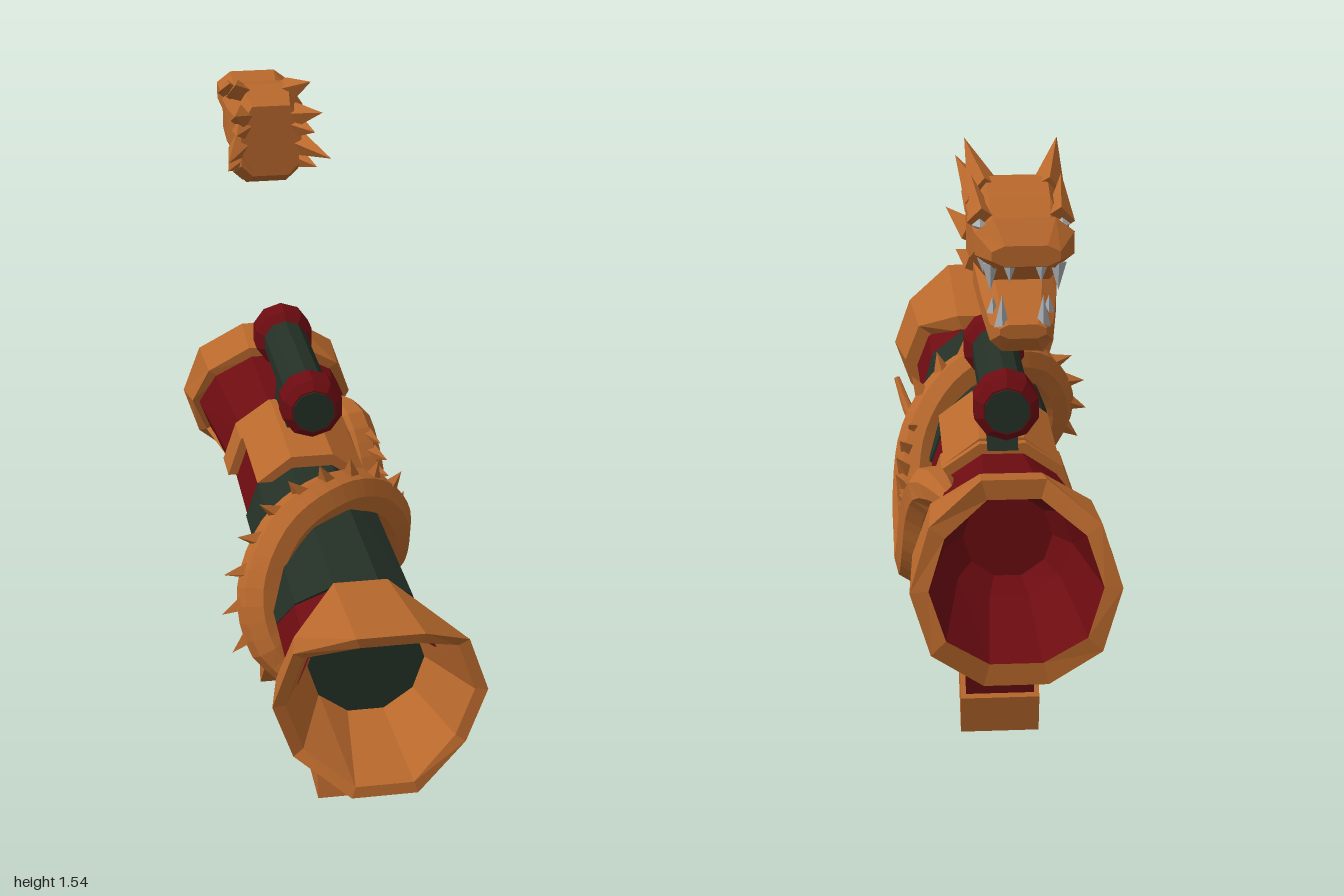
import * as THREE from 'three';

const mat = (name, color) => { const m = new THREE.MeshStandardMaterial({ color }); m.name = name; return m; };
const V = (x, y, z) => new THREE.Vector3(x, y, z);
const CX = -0.01; // centre line of the launcher

export function createModel() {
  const model = new THREE.Group();
  const bronze = mat('bronze', 0xb8682c), maroon = mat('maroon', 0x6c0c11);
  const green = mat('darkGreen', 0x243026), grey = mat('toothGrey', 0xa9adb0);

  // adds a faceted mesh
  function add(name, geo, material, parent = model) {
    const g = geo.index ? geo.toNonIndexed() : geo;
    g.computeVertexNormals();
    const m = new THREE.Mesh(g, material);
    m.name = name;
    parent.add(m);
    return m;
  }

  // decagon ring; each value is a number or one per level from top to bottom
  const LEVEL = [2, 1, 0, 0, 1, 2, 3, 4, 4, 3];
  const pick = (v, l) => Array.isArray(v) ? v[l] : v;
  function ring(rx, ry, cy, z, from = 0, to = 9) {
    const pts = [];
    for (let k = from; k <= to; k++) {
      const a = k * Math.PI / 5, l = LEVEL[k];
      pts.push(V(CX + pick(rx, l) * Math.cos(a), pick(cy, l) + pick(ry, l) * Math.sin(a), pick(z, l)));
    }
    return pts;
  }

  // skin over rings listed towards -z
  function loft(rings, capStart = false, capEnd = false) {
    const p = [], n = rings[0].length;
    const tri = (...vs) => vs.forEach(v => p.push(v.x, v.y, v.z));
    for (let i = 0; i < rings.length - 1; i++) for (let j = 0; j < n; j++) {
      const k = (j + 1) % n, [r, s] = [rings[i], rings[i + 1]];
      tri(r[j], s[j], s[k]);
      tri(r[j], s[k], r[k]);
    }
    const cap = (r, flip) => {
      const c = r.reduce((s, v) => s.add(v), V(0, 0, 0)).divideScalar(n);
      for (let j = 0; j < n; j++) {
        const k = (j + 1) % n;
        flip ? tri(c, r[k], r[j]) : tri(c, r[j], r[k]);
      }
    };
    if (capStart) cap(rings[0], false);
    if (capEnd) cap(rings[rings.length - 1], true);
    const g = new THREE.BufferGeometry();
    g.setAttribute('position', new THREE.Float32BufferAttribute(p, 3));
    return g;
  }

  // side profile of [z, y] points given a width in x
  function slab(points, width) {
    const s = new THREE.Shape(points.map(p => new THREE.Vector2(...p)));
    return new THREE.ExtrudeGeometry(s, { depth: width, bevelEnabled: false })
      .translate(0, 0, -width / 2).rotateY(-Math.PI / 2).translate(CX, 0, 0);
  }

  // pointed cone from a to b
  function spike(name, a, b, r, material, parent, sides = 4) {
    const d = b.clone().sub(a), len = d.length();
    const m = add(name, new THREE.ConeGeometry(r, len, sides).translate(0, len / 2, 0), material, parent);
    m.position.copy(a);
    m.quaternion.setFromUnitVectors(V(0, 1, 0), d.normalize());
  }

  // barrel
  add('barrel', loft([
    ring(0.168, 0.142, 0.617, 0.82), ring(0.155, 0.142, 0.615, 0.3), ring(0.15, 0.142, 0.62, -0.3),
    ring(0.195, 0.155, 0.645, -0.62), ring(0.2, 0.17, 0.64, -0.7)]), maroon);
  add('barrelTopPanel', loft([
    ring(0.161, 0.147, 0.62, [0.63, 0.6, 0.53], 0, 5), ring(0.157, 0.147, 0.62, 0, 0, 5)], true, true), green);

  // muzzle
  const rimZ = [1, 0.91, 0.91, 0.91, 0.97], muzzleBack = [0.67, 0.78, 0.78, 0.78, 0.8];
  add('muzzle', loft([
    ring(0.125, 0.125, 0.635, 0.74),
    ring(0.2, 0.185, 0.645, rimZ.map(z => z - 0.005)),
    ring(0.227, 0.21, 0.645, rimZ),
    ring([0.19, 0.2, 0.2, 0.2, 0.18], 0.165, 0.633, muzzleBack),
    ring(0.14, 0.13, 0.62, muzzleBack)]), bronze);
  add('boreDisc', new THREE.CircleGeometry(0.127, 10).translate(CX, 0.635, 0.745), green);

  // rear bell
  const bellZ = [-0.7, -0.75, -0.78, -0.8, -0.78];
  const bellFront = [-0.59, -0.6, -0.64, -0.68, -0.32], bellFrontY = [0.65, 0.65, 0.65, 0.645, 0.64];
  const bellInner = ring(0.185, 0.18, 0.625, bellZ);
  add('rearBell', loft([
    ring(0.18, 0.14, bellFrontY, bellFront), ring(0.215, 0.172, bellFrontY, bellFront),
    ring(0.225, 0.23, 0.622, bellZ), bellInner]), bronze);
  add('rearBore', loft([bellInner, ring(0.14, 0.13, 0.63, -0.55), ring(0.1, 0.1, 0.63, -0.5)], false, true), maroon);

  // collar around the middle
  add('topPlate', loft([
    ring(0.165, 0.172, 0.625, 0.04, 1, 4), ring(0.165, 0.172, 0.625, -0.3, 1, 4)], true, true), bronze);
  add('collar', loft([
    ring(0.172, 0.165, 0.625, -0.22, 0, 5), ring(0.172, 0.165, 0.625, -0.32, 0, 5)], true, true), bronze);
  add('gripCollar', slab([[-0.04, 0.5], [-0.04, 0.41], [-0.24, 0.41], [-0.32, 0.5]], 0.19), bronze);

  // front grip
  add('frontGrip', slab([[0.51, 0.52], [0.51, 0.22], [0.29, 0.22], [0.29, 0.52]], 0.11), green);
  add('frontGripBase', slab([[0.535, 0.235], [0.555, 0.16], [0.27, 0.175], [0.27, 0.235]], 0.14), bronze);

  // rear grip
  add('rearGripFrame', slab([[-0.045, 0.43], [-0.045, 0.2], [-0.225, 0], [-0.245, 0.1],
    [-0.125, 0.21], [-0.125, 0.43]], 0.19), bronze);
  add('rearGrip', slab([[-0.12, 0.44], [-0.12, 0.2], [-0.235, 0.1], [-0.27, 0.29], [-0.21, 0.44]], 0.165), maroon);

  // scope
  const scope = new THREE.Group();
  scope.name = 'scope';
  scope.position.set(CX, 0.915, 0);
  model.add(scope);
  add('scopeTube', new THREE.CylinderGeometry(0.056, 0.056, 0.44, 10).rotateX(Math.PI / 2).translate(0, 0, -0.21), green, scope);
  const capProfile = [[0, -0.05], [0.055, -0.05], [0.075, -0.03], [0.075, 0.03], [0.055, 0.05], [0, 0.05]];
  for (const [z, s] of [[0.013, 1], [-0.428, -1]]) {
    add('scopeCap', new THREE.LatheGeometry(capProfile.map(p => new THREE.Vector2(...p)), 10)
      .rotateX(Math.PI / 2).translate(0, 0, z), maroon, scope);
    add('scopeLens', new THREE.CylinderGeometry(0.051, 0.051, 0.006, 10)
      .rotateX(Math.PI / 2).translate(0, 0, z + s * 0.051), green, scope);
  }
  add('scopeMount', slab([[-0.13, 0.77], [-0.13, 0.88], [-0.29, 0.88], [-0.335, 0.77]], 0.07), green);

  // serpent body coiled around the barrel, tail first
  const coil = new THREE.CatmullRomCurve3([
    V(0.215, 0.58, 0.78), V(0.175, 0.49, 0.7), V(0.1, 0.43, 0.59), V(-0.06, 0.44, 0.52),
    V(-0.165, 0.52, 0.47), V(-0.19, 0.64, 0.42), V(-0.13, 0.75, 0.35), V(0, 0.785, 0.25),
    V(0.1, 0.745, 0.17), V(0.165, 0.65, 0.1), V(0.185, 0.53, 0.02), V(0.185, 0.44, -0.07),
    V(0.185, 0.425, -0.15), V(0.18, 0.5, -0.23), V(0.17, 0.62, -0.29), V(0.15, 0.695, -0.36), V(0.11, 0.7, -0.47)]);
  const SEG = 64, SIDES = 8;
  const radius = t => t < 0.28 ? 0.008 + 0.15 * t : t > 0.94 ? 0.055 - 0.6 * (t - 0.94) : 0.055;
  const body = new THREE.TubeGeometry(coil, SEG, 1, SIDES);
  const bp = body.attributes.position, v = V(0, 0, 0);
  for (let i = 0; i <= SEG; i++) {
    const c = coil.getPointAt(i / SEG);
    for (let j = 0; j <= SIDES; j++) {
      const k = i * (SIDES + 1) + j;
      v.fromBufferAttribute(bp, k).sub(c).multiplyScalar(radius(i / SEG)).add(c);
      bp.setXYZ(k, v.x, v.y, v.z);
    }
  }
  add('serpentBody', body, bronze);
  add('serpentNeckEnd', new THREE.IcosahedronGeometry(0.026, 0).translate(0.11, 0.7, -0.47), bronze);

  // spines along the body
  const bend = V(0.32, 0.7, -0.12);
  for (let t = 0.3; t < 0.95; t += 0.03) {
    const c = coil.getPointAt(t), r = radius(t);
    const out = V(c.x - CX, c.y - 0.62, 0).normalize();
    const dir = t > 0.6 ? bend.clone().sub(c).normalize() : out;
    const lean = coil.getTangentAt(t).multiplyScalar(-0.022);
    spike('spine', c.clone().addScaledVector(dir, r * 0.75),
      c.clone().addScaledVector(dir, r + 0.035).add(lean), 0.022, bronze, model);
  }

  // serpent head floating above, facing backwards
  const head = new THREE.Group();
  head.name = 'serpentHead';
  head.position.x = CX;
  model.add(head);
  // chamfered box section
  const section = ([z, w, y0, y1]) => {
    const a = w * 0.62, h = (y1 - y0) * 0.28;
    return [V(w, y0 + h, z), V(w, y1 - h, z), V(a, y1, z), V(-a, y1, z),
      V(-w, y1 - h, z), V(-w, y0 + h, z), V(-a, y0, z), V(a, y0, z)];
  };
  add('skull', loft([[-0.6, 0.078, 1.3, 1.47], [-0.72, 0.1, 1.29, 1.495], [-0.82, 0.097, 1.31, 1.475],
    [-0.88, 0.09, 1.365, 1.44], [-0.955, 0.095, 1.37, 1.468], [-1, 0.065, 1.385, 1.425]].map(section), true, true), bronze, head);
  add('jaw', loft([[-0.62, 0.075, 1.28, 1.38], [-0.7, 0.085, 1.24, 1.35], [-0.8, 0.075, 1.215, 1.3],
    [-0.89, 0.062, 1.185, 1.262], [-0.93, 0.045, 1.222, 1.25]].map(section), true, true), bronze, head);
  // horns, teeth and eyes on both sides
  for (const s of [-1, 1]) {
    const horns = [[0.06, 1.465, -0.74, 0.095, 1.54, -0.56, 0.038], [0.065, 1.43, -0.64, 0.11, 1.485, -0.47, 0.035],
      [0.075, 1.36, -0.64, 0.13, 1.37, -0.455, 0.033], [0.07, 1.41, -0.62, 0.1, 1.42, -0.52, 0.03],
      [0.075, 1.31, -0.68, 0.115, 1.31, -0.58, 0.03], [0.075, 1.44, -0.86, 0.09, 1.5, -0.72, 0.03]];
    for (const [x, y, z, X, Y, Z, r] of horns) spike('horn', V(s * x, y, z), V(s * X, Y, Z), r, bronze, head);
    const teeth = [[0.065, 1.38, -0.95, 1.325, 0.016], [0.03, 1.385, -0.98, 1.35, 0.013], [0.075, 1.375, -0.89, 1.345, 0.012],
      [0.04, 1.24, -0.91, 1.305, 0.015], [0.055, 1.255, -0.86, 1.29, 0.012]];
    for (const [x, y, z, Y, r] of teeth) spike('tooth', V(s * x, y, z), V(s * x, Y, z - 0.003), r, grey, head);
    add('eye', new THREE.OctahedronGeometry(0.016).scale(1, 0.8, 1.3).translate(s * 0.08, 1.432, -0.862), grey, head);
  }
  return model;
}
